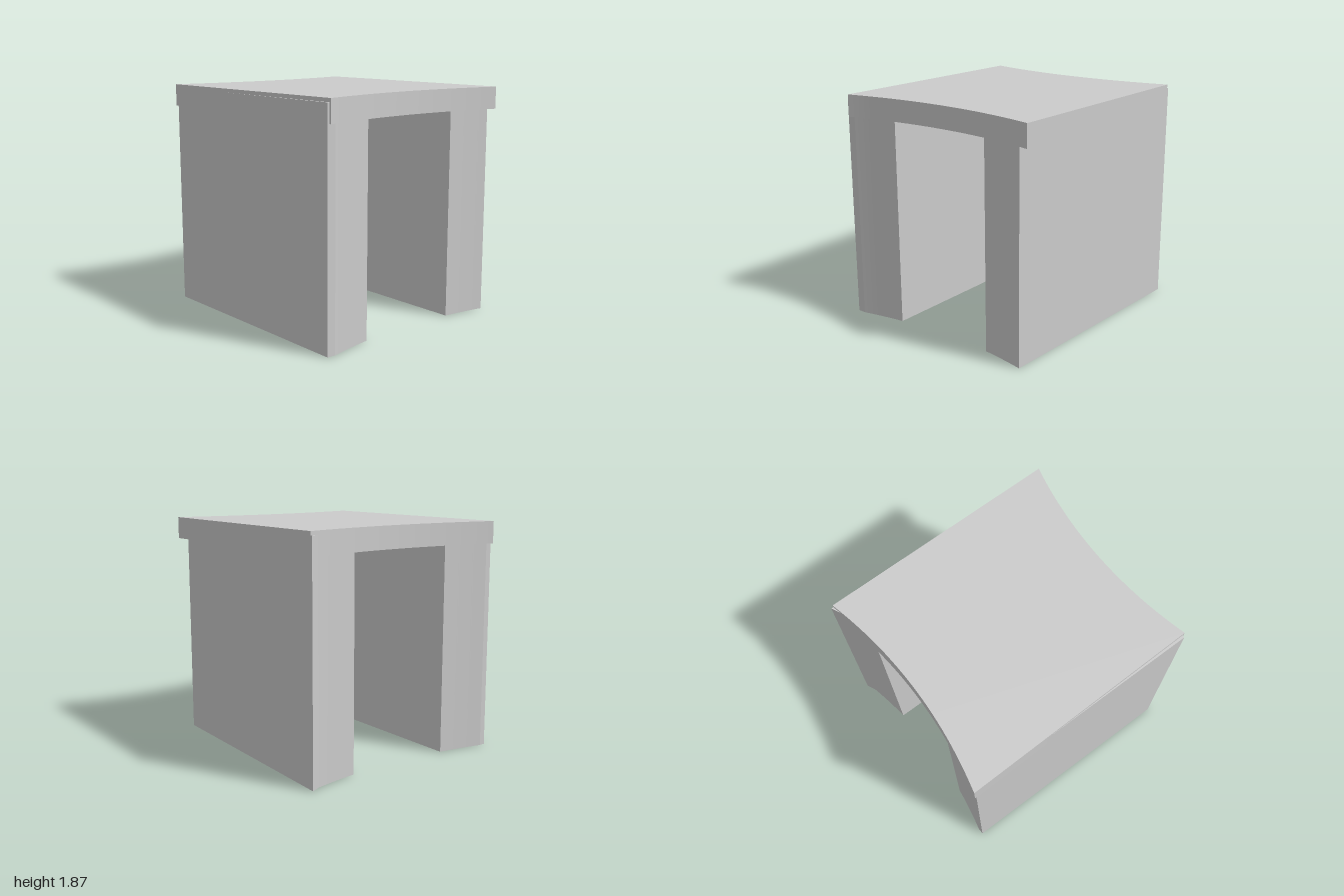
import * as THREE from 'three';

const material = new THREE.MeshStandardMaterial({ color: 0xcccccc });

// Concave front and back edges of the plan, as z for a given x
const frontZ = (x) => 0.88 + 0.115 * (x / 0.9) ** 2;
const backZ = (x) => -0.87 - 0.112 * (x / 0.9) ** 2;

// Points along one of the curved edges
function edge(curve, x0, x1, steps = 24) {
  return Array.from({ length: steps + 1 }, (_, i) => {
    const x = x0 + ((x1 - x0) * i) / steps;
    return [x, curve(x)];
  });
}

// Upright prism from a plan outline given as [x, z] points
function prism(name, outline, bottom, top) {
  const shape = new THREE.Shape(outline.map(([x, z]) => new THREE.Vector2(x, -z)));
  const geometry = new THREE.ExtrudeGeometry(shape, { depth: top - bottom, bevelEnabled: false });
  geometry.rotateX(-Math.PI / 2);
  geometry.translate(0, bottom, 0);
  const mesh = new THREE.Mesh(geometry, material);
  mesh.name = name;
  return mesh;
}

export function createModel() {
  const group = new THREE.Group();
  group.name = 'stool';

  // Seat slab, slightly narrower at its front right corner
  group.add(prism('seat', [
    ...edge(frontZ, -0.88, 0.9, 36),
    ...edge(backZ, 0.9, -0.9, 36),
  ], 1.69, 1.87));

  // Left side panel: outer face slants in toward the front, back corner flares out
  group.add(prism('leftLeg', [
    ...edge(frontZ, 0.45, 0.82),
    [0.9, -1.0],
    ...edge(backZ, 0.82, 0.45),
  ], 0, 1.84));

  // Right side panel: outer face slants in toward the back, blunt outer corners
  group.add(prism('rightLeg', [
    ...edge(frontZ, -0.83, -0.45),
    ...edge(backZ, -0.45, -0.84),
    [-0.89, -0.965],
    [-0.9, 0.975],
  ], 0, 1.84));

  return group;
}
